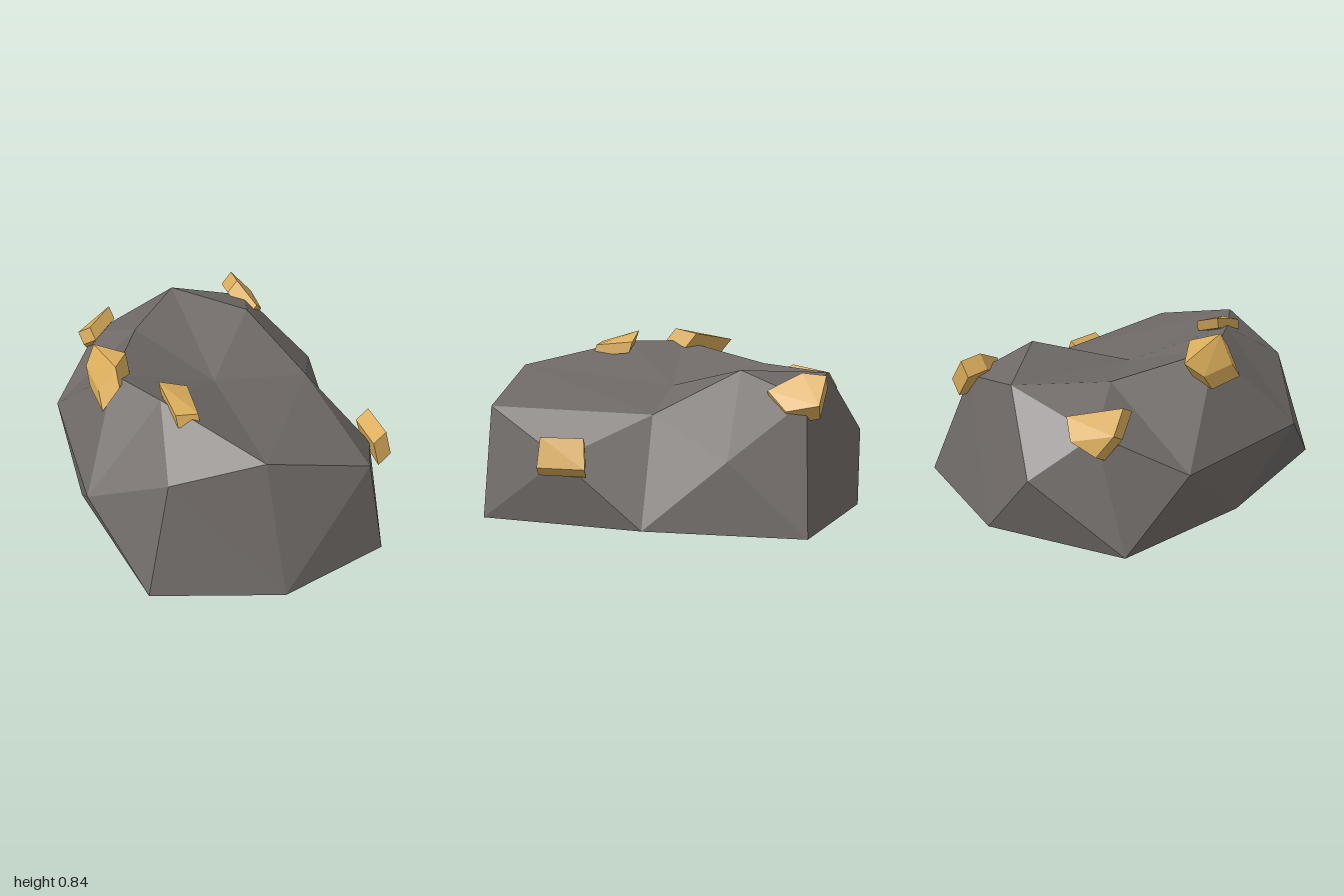
import * as THREE from 'three';
import { ConvexGeometry } from 'three/addons/geometries/ConvexGeometry.js';

const stone = new THREE.MeshStandardMaterial({ color: 0x6f6a67, flatShading: true });
const gold = new THREE.MeshStandardMaterial({ color: 0xdcae5c, flatShading: true });

// Corners of the boulder: ground outline, flanks and crown
const corners = {
  // ground outline
  gA: [0.88, 0, -0.49], gB: [0.28, 0, -0.91], gC: [-0.44, 0, -0.9], gD: [-0.73, 0, -0.23],
  gE: [-0.84, 0, 0.58], gF: [-0.31, 0, 0.96], gG: [0.28, 0, 0.99], gH: [0.64, 0, 0.25],
  // flanks
  left: [0.73, 0.34, -0.14], leftFront: [0.5, 0.33, 0.62], right: [-0.89, 0.34, 0.14],
  rightBack: [-0.63, 0.33, -0.61], back: [0, 0.34, -1], backHigh: [-0.25, 0.54, -0.81],
  // crown
  brow: [0.19, 0.54, 0.94], frontTop: [-0.3, 0.68, 0.77], shoulder: [-0.67, 0.56, 0.52],
  saddle: [0.44, 0.52, 0.17], peak: [0.38, 0.72, -0.27], leftTop: [0.58, 0.6, -0.55],
  backTop: [0.22, 0.68, -0.75], ridge: [-0.18, 0.68, -0.51], rightTop: [-0.55, 0.77, -0.12],
  rightPeak: [-0.49, 0.78, 0.2], hollow: [-0.04, 0.59, 0.01],
};

// Facets as fans: the first corner is joined to each pair along the rest
const fans = [
  'hollow saddle peak backTop ridge rightTop rightPeak frontTop saddle',
  'brow gG leftFront saddle frontTop gF gG',
  'shoulder gF frontTop rightPeak right gE gF',
  'gH gG leftFront saddle left gA',
  'leftTop gA left peak backTop gB gA',
  'left saddle peak',
  'back gB backTop backHigh gC gB',
  'ridge backTop backHigh rightBack rightTop',
  'rightBack backHigh gC gD right rightTop',
  'right rightTop rightPeak',
  'right gE gD',
  'gA gB gC gD gE gF gG gH',
];

function boulderGeometry() {
  const middle = new THREE.Vector3(0, 0.25, 0);
  const points = [];
  for (const fan of fans) {
    const [hub, ...rim] = fan.split(' ').map((n) => new THREE.Vector3(...corners[n]));
    for (let i = 0; i + 1 < rim.length; i++) {
      const t = new THREE.Triangle(hub, rim[i], rim[i + 1]);
      // turn every facet away from the middle
      const outward = t.getNormal(new THREE.Vector3()).dot(hub.clone().sub(middle)) > 0;
      points.push(...(outward ? [t.a, t.b, t.c] : [t.a, t.c, t.b]));
    }
  }
  const geometry = new THREE.BufferGeometry().setFromPoints(points);
  geometry.computeVertexNormals();
  return geometry;
}

// Gold nuggets: corners of the exposed face, and how far the block runs into the stone
const nuggets = [
  { name: 'backNugget', depth: [-0.01, -0.04, 0.07],
    face: [[-0.35, 0.56, -0.83], [-0.29, 0.47, -0.89], [-0.18, 0.54, -0.92], [-0.13, 0.63, -0.86], [-0.34, 0.65, -0.71]] },
  { name: 'rightNugget', depth: [-0.02, -0.08, 0.06],
    face: [[-0.64, 0.71, -0.12], [-0.58, 0.71, -0.34], [-0.5, 0.78, -0.39], [-0.44, 0.82, -0.18], [-0.56, 0.84, -0.08]] },
  { name: 'topNugget', depth: [0, -0.06, 0.02],
    face: [[-0.46, 0.84, 0.14], [-0.33, 0.79, 0.19], [-0.4, 0.77, 0.38], [-0.5, 0.78, 0.34]] },
  { name: 'leftNugget', depth: [-0.05, -0.07, -0.02],
    face: [[0.53, 0.64, -0.37], [0.52, 0.72, -0.54], [0.56, 0.71, -0.65], [0.66, 0.58, -0.59], [0.62, 0.55, -0.44]] },
  { name: 'frontNugget', depth: [-0.07, -0.05, -0.01],
    face: [[0.52, 0.44, 0.71], [0.55, 0.3, 0.73], [0.63, 0.3, 0.51], [0.58, 0.44, 0.51]] },
];

function nuggetGeometry({ face, depth }) {
  const outer = face.map((p) => new THREE.Vector3(...p));
  const inner = outer.map((p) => p.clone().add(new THREE.Vector3(...depth)));
  return new ConvexGeometry([...outer, ...inner]);
}

export function createModel() {
  const model = new THREE.Group();
  model.name = 'goldOreBoulder';

  const boulder = new THREE.Mesh(boulderGeometry(), stone);
  boulder.name = 'boulder';
  model.add(boulder);

  for (const nugget of nuggets) {
    const mesh = new THREE.Mesh(nuggetGeometry(nugget), gold);
    mesh.name = nugget.name;
    model.add(mesh);
  }
  return model;
}
